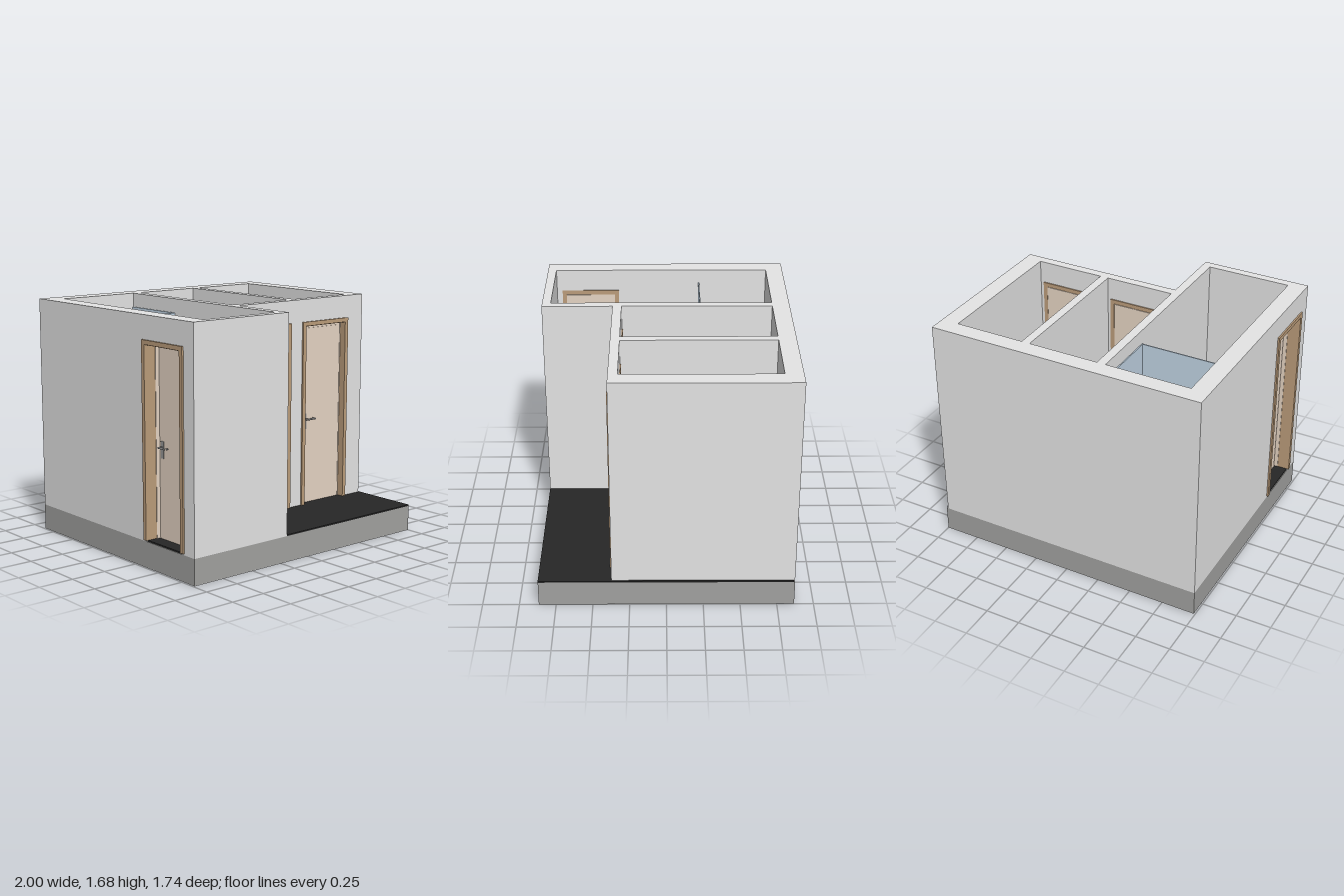
import * as THREE from 'three';

const mat = (name, color) => {
  const m = new THREE.MeshStandardMaterial({ color });
  m.name = name;
  return m;
};

export function createModel() {
  const wall = mat('wallGrey', 0xe5e5e5);
  const base = mat('baseGrey', 0xa2a2a0);
  const floor = mat('floorDark', 0x272727);
  const frameTan = mat('frameTan', 0xbc9d7b);
  const leafTan = mat('leafTan', 0xe6d5c4);
  const white = mat('ceramic', 0xe9e9e9);
  white.side = THREE.DoubleSide;
  const blue = mat('paleBlue', 0xc1d4e4);
  const metal = mat('metal', 0x999999);
  const FLOOR = 0.19, TOP = 1.68;

  const root = new THREE.Group();
  root.name = 'washroomBlock';
  const group = (name, parent = root) => {
    const g = new THREE.Group();
    g.name = name;
    parent.add(g);
    return g;
  };
  const add = (parent, name, geo, m, x = 0, y = 0, z = 0) => {
    const mesh = new THREE.Mesh(geo, m);
    mesh.name = name;
    mesh.position.set(x, y, z);
    parent.add(mesh);
    return mesh;
  };
  // box given by its limits
  const box = (parent, name, m, x0, x1, y0, y1, z0, z1) =>
    add(parent, name, new THREE.BoxGeometry(x1 - x0, y1 - y0, z1 - z0), m,
      (x0 + x1) / 2, (y0 + y1) / 2, (z0 + z1) / 2);
  // plan shape (x, z) extruded downward from y = 0
  const slab = (shape, depth) => new THREE.ExtrudeGeometry(shape,
    { depth, bevelEnabled: false, curveSegments: 12 }).rotateX(Math.PI / 2);
  const rod = (parent, name, a, b, r, m = metal) => add(parent, name,
    new THREE.TubeGeometry(new THREE.LineCurve3(new THREE.Vector3(...a), new THREE.Vector3(...b)), 1, r, 8), m);
  // plan rectangle with radius ra at low z and rb at high z
  const rounded = (x0, x1, z0, z1, ra, rb, S = THREE.Shape) => {
    const s = new S();
    s.moveTo(x0 + ra, z0);
    s.lineTo(x1 - ra, z0);
    s.quadraticCurveTo(x1, z0, x1, z0 + ra);
    s.lineTo(x1, z1 - rb);
    s.quadraticCurveTo(x1, z1, x1 - rb, z1);
    s.lineTo(x0 + rb, z1);
    s.quadraticCurveTo(x0, z1, x0, z1 - rb);
    s.lineTo(x0, z0 + ra);
    s.quadraticCurveTo(x0, z0, x0 + ra, z0);
    return s;
  };

  // base with pale underside, and floor
  box(root, 'underside', wall, -0.99, 1, 0, 0.004, -0.868, 0.868);
  box(root, 'baseSlab', base, -0.99, 1, 0.004, 0.18, -0.868, 0.868);
  box(root, 'wetRoomFloor', floor, -0.985, -0.23, 0.18, FLOOR, -0.86, 0.84);
  box(root, 'floor', floor, -0.23, 1, 0.18, FLOOR, -0.86, 0.84);
  box(root, 'porchFloor', floor, -0.198, 1, 0.18, FLOOR, 0.84, 0.868);

  // walls, with openings left for the doors
  const walls = group('walls');
  const H = 1.495;
  [
    [-0.99, 0.988, 0.18, TOP, -0.868, -0.746],
    [0.862, 0.988, 0.18, TOP, -0.746, 0.372],
    [-0.26, -0.198, 0.18, TOP, -0.746, 0.868],
    [0.303, 0.363, 0.18, TOP, -0.746, 0.308],
    [-0.99, -0.26, 0.18, TOP, 0.807, 0.868],
    [-0.99, -0.863, 0.18, TOP, -0.746, 0.37],
    [-0.99, -0.863, 0.18, TOP, 0.745, 0.807],
    [-0.99, -0.863, H, TOP, 0.37, 0.745],
    [-0.198, -0.15, 0.18, TOP, 0.308, 0.372],
    [0.26, 0.41, 0.18, TOP, 0.308, 0.372],
    [0.815, 0.862, 0.18, TOP, 0.308, 0.372],
    [-0.15, 0.26, H, TOP, 0.308, 0.372],
    [0.41, 0.815, H, TOP, 0.308, 0.372],
  ].forEach(b => box(walls, 'wall', wall, ...b));

  // door: outer wall face at local z = 0, wall of thickness t behind it
  const door = (name, x, z, w, t, turn, plate) => {
    const d = group(name), h = w / 2, top = 1.52, split = -t * 0.6;
    d.position.set(x, 0, z);
    d.rotation.y = turn;
    for (const s of [-1, 1]) {
      // upright spanning two distances from the centre line
      const upright = (part, m, near, far, z0, z1, y1 = top) =>
        box(d, part, m, Math.min(s * near, s * far), Math.max(s * near, s * far), FLOOR, y1, z0, z1);
      upright('frameJamb', frameTan, h - 0.03, h, -0.001, 0.012);
      upright('innerTrim', frameTan, h - 0.03, h, -t - 0.008, -t + 0.001);
      upright('jambLining', frameTan, h - 0.03, h - 0.018, split, 0, top - 0.02);
      upright('jambRebate', leafTan, h - 0.034, h - 0.018, -t, split, top - 0.02);
    }
    box(d, 'frameHead', frameTan, -h + 0.03, h - 0.03, top - 0.03, top, -0.001, 0.012);
    box(d, 'innerHead', frameTan, -h + 0.03, h - 0.03, top - 0.03, top, -t - 0.008, -t + 0.001);
    box(d, 'headLining', frameTan, -h + 0.03, h - 0.03, top - 0.034, top - 0.022, -t, 0);
    box(d, 'leaf', leafTan, -h + 0.03, h - 0.03, FLOOR, top - 0.034, -t - 0.006, -t + 0.022);
    box(d, 'leafPanel', leafTan, -h + 0.048, h - 0.045, FLOOR, top - 0.052, -t + 0.02, -t + 0.027);
    const hx = -h + 0.07;
    for (const [face, s] of [[-t + 0.027, 1], [-t - 0.006, -1]]) {
      if (plate) box(d, 'handlePlate', metal, hx - 0.014, hx + 0.014, 0.735, 0.85,
        face - 0.004, face + 0.004);
      else for (const y of [0.75, 0.81]) add(d, 'rosette',
        new THREE.CylinderGeometry(0.016, 0.016, 0.008, 16).rotateX(Math.PI / 2), metal, hx, y, face);
      const out = face + s * 0.03;
      rod(d, 'handleStem', [hx, 0.81, face], [hx, 0.81, out + s * 0.002], 0.007);
      rod(d, 'handleLever', [hx - 0.006, 0.81, out], [hx + 0.074, 0.81, out], 0.007);
      rod(d, 'handleReturn', [hx + 0.068, 0.81, out], [hx + 0.068, 0.81, out - s * 0.02], 0.006);
    }
  };
  door('frontDoorA', 0.055, 0.372, 0.45, 0.064, 0, false);
  door('frontDoorB', 0.614, 0.372, 0.445, 0.064, 0, true);
  door('sideDoor', -0.99, 0.557, 0.42, 0.127, -Math.PI / 2, true);

  // toilet: back centre at the origin, facing +z
  const toilet = (name, x, z, turn, depthScale) => {
    const t = group(name);
    t.position.set(x, FLOOR, z);
    t.rotation.y = turn;
    t.scale.z = depthScale;
    add(t, 'foot', slab(rounded(-0.065, 0.065, 0.03, 0.32, 0.01, 0.06), 0.2), white, 0, 0.2, 0);
    add(t, 'bowl', slab(rounded(-0.1, 0.1, 0.02, 0.4, 0.01, 0.07), 0.09), white, 0, 0.27, 0);
    add(t, 'lid', slab(rounded(-0.112, 0.112, 0.137, 0.415, 0.005, 0.06), 0.02), blue, 0, 0.29, 0);
    box(t, 'hingeStrip', white, -0.112, 0.112, 0.2, 0.292, 0.085, 0.137);
    box(t, 'tank', white, -0.112, 0.112, 0.24, 0.5, 0, 0.078);
    box(t, 'tankCover', white, -0.114, 0.114, 0.5, 0.52, -0.002, 0.082);
    box(t, 'flushPlate', metal, -0.03, 0.03, 0.4, 0.45, -0.01, 0);
  };
  toilet('toiletA', 0.054, -0.685, 0, 1);
  toilet('toiletB', 0.612, -0.685, 0, 0.8);
  toilet('toiletC', -0.338, -0.06, -Math.PI / 4, 0.86);

  // basins: pierced body with a hollow bowl and a drain
  const basin = (name, x, z, shape, cx, cz, rx, rz) => {
    const b = group(name);
    b.position.set(x, 0.73, z);
    const hole = new THREE.Path();
    hole.absellipse(cx, cz, rx, rz, 0, Math.PI * 2, true);
    shape.holes.push(hole);
    add(b, 'basinBody', slab(shape, 0.08), white);
    const bowl = add(b, 'basinBowl',
      new THREE.SphereGeometry(1, 24, 10, 0, Math.PI * 2, Math.PI / 2, Math.PI / 2), white, cx, 0, cz);
    bowl.scale.set(rx, 0.075, rz);
    add(b, 'drain', new THREE.CylinderGeometry(0.012, 0.012, 0.006, 12), floor, cx - 0.015, -0.068, cz);
    return b;
  };
  for (const x of [-0.198, 0.363]) {
    // rounded only on the side away from the wall
    const s = new THREE.Shape();
    s.moveTo(0, -0.11);
    s.lineTo(0.105, -0.11);
    s.quadraticCurveTo(0.152, -0.11, 0.152, -0.065);
    s.lineTo(0.152, 0.065);
    s.quadraticCurveTo(0.152, 0.11, 0.105, 0.11);
    s.lineTo(0, 0.11);
    basin('wallBasin', x, -0.05, s, 0.073, 0, 0.062, 0.082);
  }
  const quarter = new THREE.Shape();
  quarter.moveTo(0, 0);
  quarter.lineTo(-0.215, 0);
  quarter.absarc(0, 0, 0.215, Math.PI, Math.PI * 1.5, false);
  const corner = basin('cornerBasin', -0.26, 0.807, quarter, -0.09, -0.09, 0.08, 0.08);
  rod(corner, 'tapPost', [-0.04, -0.02, -0.04], [-0.04, 0.07, -0.04], 0.016);
  rod(corner, 'tapSpout', [-0.03, 0.065, -0.03], [-0.12, 0.055, -0.135], 0.013);

  // shower tray
  const shower = group('shower');
  const tray = rounded(-0.862, -0.262, -0.745, -0.248, 0.005, 0.005);
  tray.holes.push(rounded(-0.815, -0.285, -0.71, -0.285, 0.05, 0.05, THREE.Path));
  add(shower, 'trayRim', slab(tray, 0.06), white, 0, 0.25, 0);
  box(shower, 'trayBottom', white, -0.83, -0.275, FLOOR, 0.215, -0.73, -0.27);

  // glass panels and their fittings
  box(shower, 'frontGlass', blue, -0.862, -0.262, 0.25, 1.58, -0.254, -0.246);
  box(shower, 'sideGlass', blue, -0.269, -0.261, 0.25, 1.58, -0.745, -0.254);
  rod(shower, 'glassBrace', [-0.345, 1.56, -0.745], [-0.265, 1.56, -0.66], 0.005, white);
  rod(shower, 'glassKnob', [-0.3, 0.85, -0.265], [-0.3, 0.85, -0.232], 0.01);

  // mixer, riser and shower head
  rod(shower, 'mixerBar', [-0.71, 0.85, -0.7], [-0.5, 0.85, -0.7], 0.02);
  for (const x of [-0.66, -0.58]) rod(shower, 'mixerMount', [x, 0.85, -0.747], [x, 0.85, -0.7], 0.016);
  rod(shower, 'riser', [-0.49, 0.85, -0.72], [-0.49, 1.53, -0.72], 0.009);
  for (const y of [0.95, 1.5]) rod(shower, 'riserMount', [-0.49, y, -0.747], [-0.49, y, -0.715], 0.013);
  rod(shower, 'headArm', [-0.49, 1.5, -0.72], [-0.468, 1.52, -0.665], 0.01);
  const head = add(shower, 'showerHead', new THREE.CylinderGeometry(0.03, 0.045, 0.025, 20), metal,
    -0.468, 1.505, -0.668);
  head.rotation.x = -0.3;

  // grab rail on the side wall
  rod(shower, 'grabRail', [-0.84, 0.85, -0.63], [-0.84, 0.85, -0.375], 0.01);
  for (const z of [-0.62, -0.385]) rod(shower, 'railMount', [-0.864, 0.85, z], [-0.84, 0.85, z], 0.012);

  return root;
}
